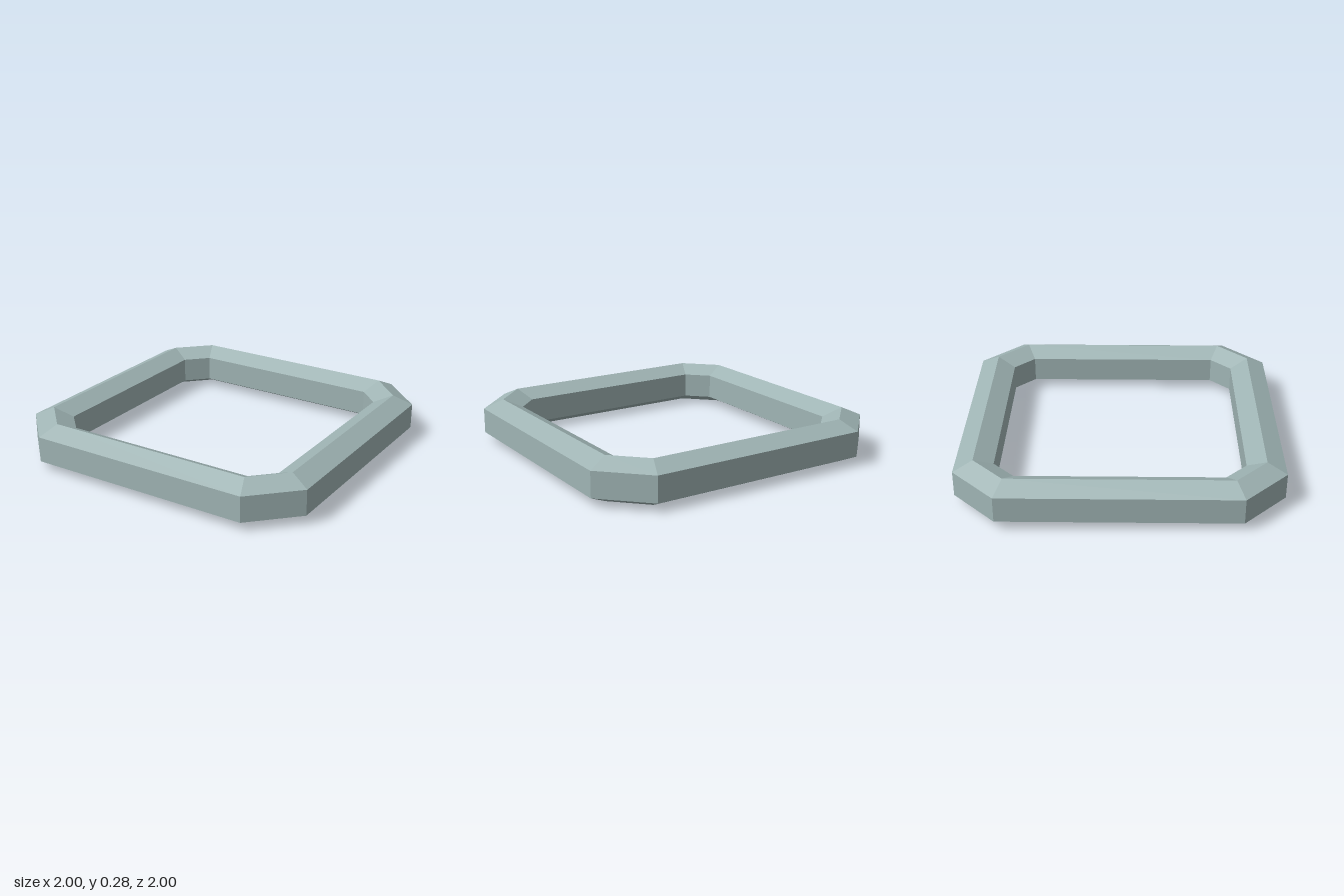
import * as THREE from 'three';

// Hexagonal bar section: [half width of ring, half length of straight side, height]
const SECTION = [
  [1.0, 0.73, 0.057],
  [1.0, 0.73, 0.22],
  [0.88, 0.683, 0.277],
  [0.763, 0.632, 0.22],
  [0.763, 0.632, 0.057],
  [0.88, 0.683, 0],
];

// Eight corners of a square with cut corners, turning from +x towards +z
function octagon(w, s) {
  return [[w, -s], [w, s], [s, w], [-s, w], [-w, s], [-w, -s], [-s, -w], [s, -w]];
}

// Sweep the section round the ring, with separate vertices for flat faces
function ringGeometry() {
  const loops = SECTION.map(([w, s, y]) => octagon(w, s).map(([x, z]) => [x, y, z]));
  const positions = [];
  loops.forEach((loop, j) => {
    const next = loops[(j + 1) % loops.length];
    for (let i = 0; i < 8; i++) {
      const k = (i + 1) % 8;
      const a = loop[i], b = next[i], c = next[k], d = loop[k];
      positions.push(...a, ...b, ...c, ...a, ...c, ...d);
    }
  });
  const geometry = new THREE.BufferGeometry();
  geometry.setAttribute('position', new THREE.Float32BufferAttribute(positions, 3));
  geometry.computeVertexNormals();
  return geometry;
}

export function createModel() {
  const model = new THREE.Group();
  model.name = 'squareRing';
  const material = new THREE.MeshStandardMaterial({ color: 0x9fb4b4, flatShading: true });
  material.name = 'greyGreen';
  const frame = new THREE.Mesh(ringGeometry(), material);
  frame.name = 'bevelledFrame';
  model.add(frame);
  return model;
}
